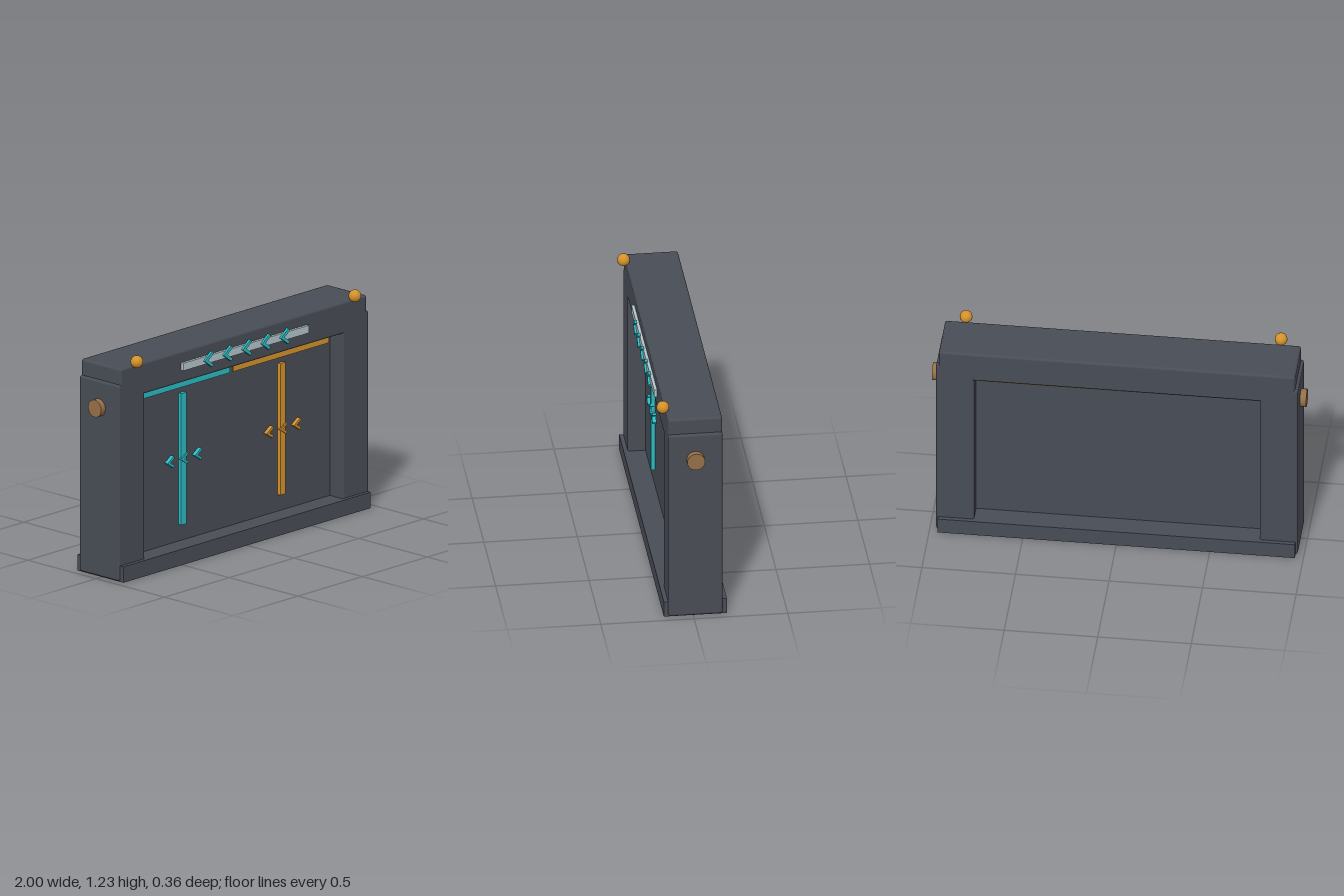
import * as THREE from 'three';
import { RoundedBoxGeometry } from 'three/addons/geometries/RoundedBoxGeometry.js';

const material = (name, color) => {
  const m = new THREE.MeshStandardMaterial({ color });
  m.name = name;
  return m;
};

export function createModel() {
  const model = new THREE.Group();
  model.name = 'gateway';
  const slate = material('slate', 0x484c55);
  const teal = material('teal', 0x2bbcc4);
  const amber = material('amber', 0xd4922c);
  const silver = material('silver', 0xb4c6ca);
  const bronze = material('bronze', 0x966f48);

  const add = (name, geometry, mat, x = 0, y = 0, z = 0) => {
    const mesh = new THREE.Mesh(geometry, mat);
    mesh.name = name;
    mesh.position.set(x, y, z);
    model.add(mesh);
    return mesh;
  };
  // Boxes given by their limits on each axis
  const box = (name, mat, [x0, x1], [y0, y1], [z0, z1], radius = 0) => {
    const size = [x1 - x0, y1 - y0, z1 - z0];
    const geometry = radius
      ? new RoundedBoxGeometry(...size, 2, radius)
      : new THREE.BoxGeometry(...size);
    return add(name, geometry, mat, (x0 + x1) / 2, (y0 + y1) / 2, (z0 + z1) / 2);
  };
  // Arrowhead pointing to -x, with its back on z
  const chevron = (name, mat, x, y, z, w, h, depth) => {
    const t = w * 0.42;
    const shape = new THREE.Shape([
      [-w / 2, 0], [w / 2 - t * 0.3, -h / 2], [w / 2, -h / 2 + t * 0.5],
      [-w / 2 + t, 0], [w / 2, h / 2 - t * 0.5], [w / 2 - t * 0.3, h / 2],
    ].map(p => new THREE.Vector2(...p)));
    add(name, new THREE.ExtrudeGeometry(shape, { depth, bevelEnabled: false }), mat, x, y, z);
  };

  // Frame
  const frameDepth = [-0.157, 0.134];
  box('leftPillar', slate, [0.763, 0.967], [0.003, 1.088], frameDepth, 0.014);
  box('rightPillar', slate, [-0.967, -0.763], [0.003, 1.088], frameDepth, 0.014);
  box('lintel', slate, [-0.952, 0.952], [1.0, 1.176], frameDepth, 0.014);
  box('sill', slate, [-0.955, 0.955], [0, 0.088], [-0.18, 0.157]);
  box('panel', slate, [-0.77, 0.77], [0.08, 1.01], [-0.06, 0.04]);

  // Header lights, strips and small arrows on the panel
  for (const [side, mat, header, x] of [
    ['right', teal, [-0.75, -0.015], -0.385],
    ['left', amber, [0.01, 0.748], 0.38],
  ]) {
    box(side + 'HeaderLight', mat, header, [0.938, 1.0], [-0.068, 0.048]);
    box(side + 'Strip', mat, [x - 0.021, x + 0.021], [0.18, 0.908], [0.035, 0.06]);
    for (let i = -1; i <= 1; i++)
      chevron(side + 'Arrow', mat, x + i * 0.106, 0.545, 0.045, 0.055, 0.066, 0.022);
  }

  // Sign plate with a row of arrows
  box('signPlate', silver, [-0.485, 0.485], [1.07, 1.112], [0.13, 0.15]);
  for (let i = -2; i <= 2; i++)
    chevron('signArrow', teal, i * 0.147 - 0.003, 1.091, 0.147, 0.068, 0.088, 0.015);

  // Corner lamps and side knobs
  for (const s of [-1, 1]) {
    add('cornerLamp', new THREE.SphereGeometry(0.034, 16, 12), amber, s * 0.842, 1.198, 0.148);
    const knob = add('sideKnob', new THREE.CylinderGeometry(0.048, 0.048, 0.05, 20), bronze, s * 0.975, 0.94, -0.011);
    knob.rotation.z = Math.PI / 2;
  }
  return model;
}
